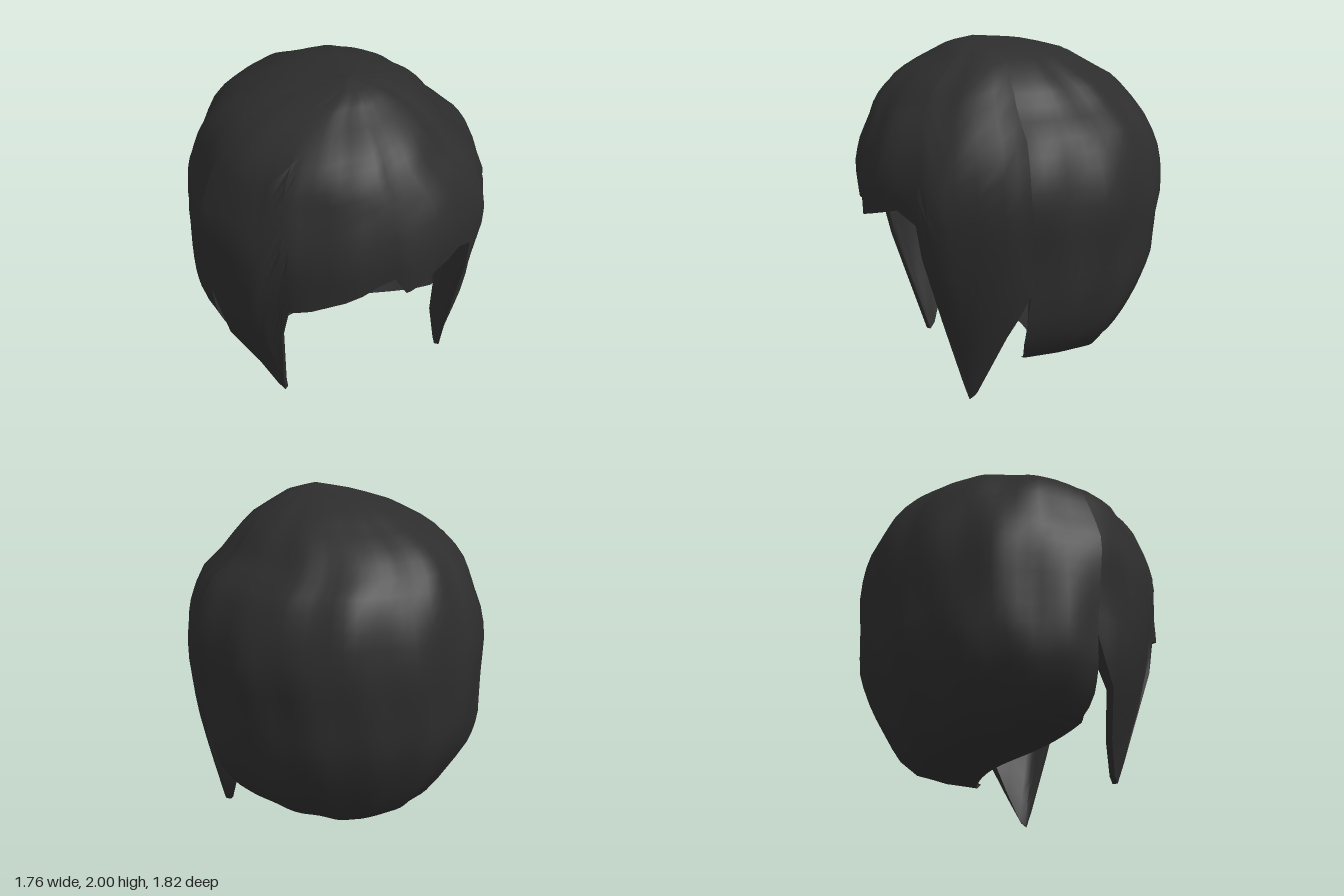
import * as THREE from 'three';
import { toCreasedNormals } from 'three/addons/utils/BufferGeometryUtils.js';

// Linear lookup in rows of [key, a, b, ...]
function lookup(table, key) {
  let i = 0;
  while (i < table.length - 2 && key > table[i + 1][0]) i++;
  const a = table[i], b = table[i + 1];
  const t = THREE.MathUtils.clamp((key - a[0]) / (b[0] - a[0]), 0, 1);
  return a.map((v, k) => v + (b[k] - v) * t);
}

// Cross-sections: height, half width, half depth, centre x, centre z
const upperProfile = [
  [0, 0.67, 0.67, 0.03, 0], [0.2, 0.71, 0.71, 0.01, 0], [0.45, 0.79, 0.8, -0.01, 0],
  [0.69, 0.84, 0.86, -0.015, 0], [0.9, 0.855, 0.885, -0.01, 0], [1.1, 0.875, 0.9, 0, 0],
  [1.25, 0.87, 0.9, 0, 0.01], [1.4, 0.82, 0.87, 0, 0.01], [1.53, 0.765, 0.815, -0.01, 0.01],
  [1.65, 0.66, 0.745, -0.06, 0.025], [1.75, 0.58, 0.65, -0.05, 0.04], [1.82, 0.5, 0.54, -0.04, 0.06],
  [1.9, 0.36, 0.4, -0.02, 0.06], [1.96, 0.2, 0.25, 0, 0.12], [2, 0, 0, 0, 0.22],
];
const napeProfile = [
  [0.09, 0.42, 0.43, 0.02, -0.01], [0.15, 0.5, 0.53, 0, -0.01],
  [0.2, 0.57, 0.59, 0, -0.015], [0.28, 0.67, 0.68, -0.01, 0.02], [0.36, 0.74, 0.74, -0.015, 0.03],
  [0.48, 0.8, 0.8, -0.02, 0.02], [0.58, 0.825, 0.835, -0.02, 0.01], [0.69, 0.84, 0.86, -0.015, 0],
];

// Lower edge of the front shell: angle in degrees (0 = +x, 90 = front), height, thickness
const hem = [
  [8.6, 0.69, 0.09], [13, 0.56, 0.12], [18, 0.43, 0.13], [27, 0.2, 0.11], [35, 0.03, 0.05],
  [38, 0, 0.03], [40, 0.1, 0.03], [45, 0.5, 0.03], [49, 0.88, 0.03], [51, 1.07, 0.03],
  [60, 1.13, 0.035], [85.5, 1.01, 0.035], [90, 1.12, 0.035], [129, 0.88, 0.03], [132, 0.66, 0.03],
  [139, 0.12, 0.03], [141, 0, 0.03], [145, 0.03, 0.03], [153, 0.2, 0.04], [162, 0.43, 0.05],
  [167, 0.56, 0.07], [171.4, 0.69, 0.09],
];
const [partStart, notch, backThickness] = hem[0];
const partEnd = 180 - partStart;

function point(profile, deg, y, inset = 0) {
  const [, w, d, cx, cz] = lookup(profile, y);
  const a = THREE.MathUtils.degToRad(deg);
  // Soft swirling locks of hair
  const bump = 1 + 0.013 * Math.sin(11 * a + 5 * y) + 0.008 * Math.sin(17 * a - 4 * y);
  return new THREE.Vector3(
    cx + Math.max(w * bump - inset, 0) * Math.cos(a), y,
    cz + Math.max(d * bump - inset, 0) * Math.sin(a));
}

// Outer and inner points from a lower edge to the crown, closer together near the top
function wall(deg, low, thickness, rows = 20) {
  const outer = [], inner = [];
  for (let j = 0; j <= rows; j++) {
    const s = Math.sin((j / rows) * Math.PI / 2);
    const y = low + (2 - low) * s;
    outer.push(point(upperProfile, deg, y));
    const p = point(upperProfile, deg, y, thickness);
    p.y -= 0.06 * s;
    inner.push(p);
  }
  return { outer, inner };
}

// Skin columns of points; each column is a closed loop
function skin(columns, crease) {
  const pos = [], m = columns[0].length;
  const tri = (a, b, c) => {
    const area = b.clone().sub(a).cross(c.clone().sub(a)).length();
    if (area > 1e-8) for (const p of [a, b, c]) pos.push(p.x, p.y, p.z);
  };
  for (let i = 0; i < columns.length - 1; i++) {
    const A = columns[i], B = columns[i + 1];
    for (let j = 0; j < m; j++) {
      const k = (j + 1) % m;
      tri(B[j], A[j], A[k]);
      tri(B[j], A[k], B[k]);
    }
  }
  const g = new THREE.BufferGeometry();
  g.setAttribute('position', new THREE.Float32BufferAttribute(pos, 3));
  return toCreasedNormals(g, crease);
}

// Front crown, fringe and side locks as one thick shell
function frontGeometry() {
  const angles = new Set(hem.map(h => h[0]));
  for (let a = 66; a < 129; a += 6) angles.add(a);
  const columns = [...angles].sort((a, b) => a - b).map(deg => {
    const [, low, thickness] = lookup(hem, deg);
    const { outer, inner } = wall(deg, low, thickness);
    return [...outer, ...inner.reverse()];
  });
  return skin(columns, 0.8);
}

// Hollow back of the hair; the nape curls forward under the head to a curved rim
function backGeometry() {
  const columns = [], steps = 44, napeRows = 7;
  for (let i = 0; i <= steps; i++) {
    const deg = partEnd + ((180 + 2 * partStart) * i) / steps;
    const c = Math.cos(THREE.MathUtils.degToRad(deg));
    const { outer, inner } = wall(deg, notch, backThickness);
    const low = 0.09 + 0.17 * c * c;
    const rim = new THREE.Vector3(0.63 * c, 0.14 + 0.12 * c ** 4, -0.1 + 0.23 * c * c);
    const nape = [], bowl = [];
    for (let j = 0; j < napeRows; j++) {
      const t = j / napeRows, a = t * Math.PI / 2;
      nape.push(point(napeProfile, deg, low + (notch - low) * t));
      const p = rim.clone().lerp(inner[0], Math.sin(a));
      p.y = rim.y + (inner[0].y - rim.y) * (1 - Math.cos(a));
      bowl.push(p);
    }
    const underside = rim.clone().lerp(nape[0], 0.5);
    underside.y -= 0.03 * (1 - c * c);
    const outside = [underside, ...nape, ...outer];
    const inside = [rim, ...bowl.slice(1), inner[0].clone(), ...inner];
    const loop = [...outside, ...inside.slice().reverse()];
    // Both ends close along the middle of the wall
    const middle = outside.map((p, j) => p.clone().lerp(inside[j], 0.5));
    const cap = [...middle, ...middle.slice().reverse()];
    if (i === 0) columns.push(cap);
    columns.push(loop);
    if (i === steps) columns.push(cap);
  }
  return skin(columns, 1);
}

export function createModel() {
  const model = new THREE.Group();
  model.name = 'hair';
  const charcoal = new THREE.MeshStandardMaterial({ color: 0x2d2d2d });
  charcoal.name = 'charcoal';
  const parts = { fringeAndSideLocks: frontGeometry(), backHair: backGeometry() };
  for (const [name, geometry] of Object.entries(parts)) {
    const mesh = new THREE.Mesh(geometry, charcoal);
    mesh.name = name;
    model.add(mesh);
  }
  return model;
}
